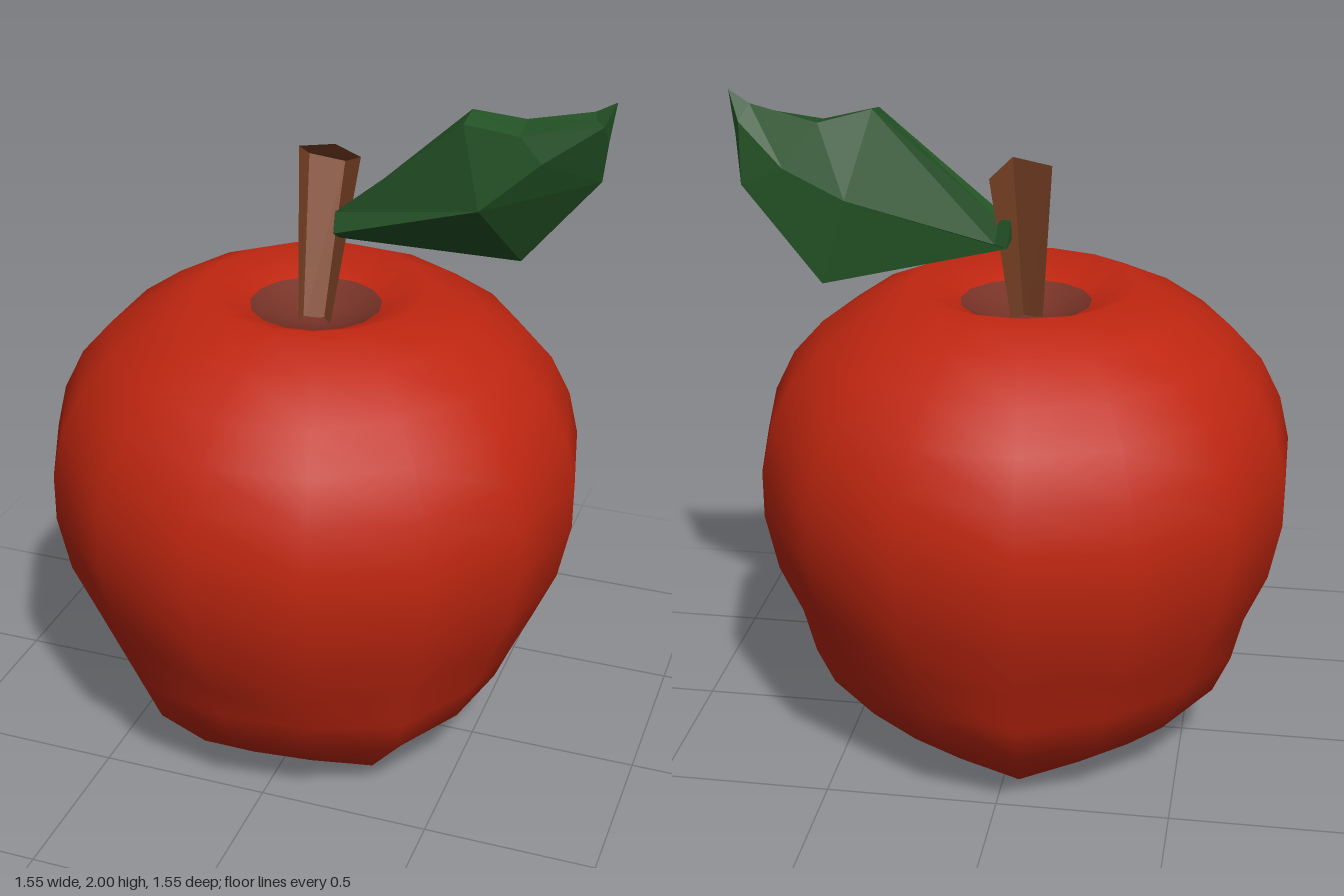
import * as THREE from 'three';
import { mergeVertices } from 'three/addons/utils/BufferGeometryUtils.js';

const SIDES = 15;
const material = (name, color) => {
  const m = new THREE.MeshStandardMaterial({ color });
  m.name = name;
  return m;
};

// Turned skin with five soft lobes pressed into the underside
function turned(profile) {
  const g = new THREE.LatheGeometry(
    profile.map(([r, y]) => new THREE.Vector2(r, y)), SIDES, Math.PI / 2);
  const p = g.attributes.position;
  for (let i = 0; i < p.count; i++) {
    const x = p.getX(i), y = p.getY(i), z = p.getZ(i);
    const r = Math.hypot(x, z);
    if (y > 0.45 || r < 0.01) continue;
    const lobe = Math.cos(5 * (Math.atan2(z, x) - THREE.MathUtils.degToRad(48)));
    const drop = y < 0.2 ? 0.021 : 0.006;
    const swell = 1 + 0.025 * lobe;
    p.setXYZ(i, x * swell, y - drop * lobe, z * swell);
  }
  g.deleteAttribute('uv');
  g.deleteAttribute('normal');
  const merged = mergeVertices(g, 1e-4);
  merged.computeVertexNormals();
  return merged;
}

// Faceted solid through cross-sections of equal point count, capped at both ends
function loft(sections) {
  const n = sections[0].length;
  const pos = sections.flat(2);
  const index = [];
  for (let i = 0; i < sections.length - 1; i++) {
    for (let j = 0; j < n; j++) {
      const a = i * n + j, b = i * n + (j + 1) % n;
      index.push(a, b, b + n, a, b + n, a + n);
    }
  }
  const last = (sections.length - 1) * n;
  for (let j = 1; j < n - 1; j++) {
    index.push(0, j + 1, j, last, last + j, last + j + 1);
  }
  const g = new THREE.BufferGeometry();
  g.setAttribute('position', new THREE.Float32BufferAttribute(pos, 3));
  g.setIndex(index);
  const flat = g.toNonIndexed();
  flat.computeVertexNormals();
  return flat;
}

export function createModel() {
  const red = material('red skin', 0xbf2610);
  const russet = material('russet hollow', 0x773227);
  const brown = material('brown stem', 0x7f4427);
  const green = material('leaf green', 0x235225);
  const model = new THREE.Group();
  model.name = 'apple';
  const add = (name, geometry, mat) => {
    const mesh = new THREE.Mesh(geometry, mat);
    mesh.name = name;
    model.add(mesh);
    return mesh;
  };

  // Fruit skin, from the underside hollow round to the top hollow
  const skin = [
    [0.16, 0.075], [0.22, 0.026], [0.43, 0.075], [0.58, 0.225], [0.63, 0.34],
    [0.68, 0.47], [0.745, 0.62], [0.78, 0.79], [0.78, 0.93], [0.75, 1.06],
    [0.69, 1.18], [0.6, 1.28], [0.47, 1.37], [0.325, 1.432], [0.19, 1.375],
  ];
  add('skin', turned(skin), red).position.x = -0.012;

  // Hollows at the top and underneath
  add('topHollow', turned([[0.19, 1.375], [0.09, 1.325], [0, 1.31]]), russet).position.x = -0.012;
  add('bottomHollow', turned([[0, 0.12], [0.08, 0.105], [0.16, 0.075]]), russet).position.x = -0.012;

  // Five-sided stem leaning back, with a slanted cut
  const foot = [[-0.055, 1.29, 0.03], [0, 1.29, 0.045], [0.03, 1.29, 0.01], [0, 1.29, -0.025], [-0.055, 1.29, -0.01]];
  const cut = [[-0.1, 1.8, -0.105], [0.01, 1.82, -0.1], [0.067, 1.77, -0.155], [0, 1.73, -0.215], [-0.1, 1.75, -0.19]];
  add('stem', loft([foot, cut].map((s) => s.reverse())), brown);

  // Thick folded leaf: front top, front rib, lower edge, back rib, back top
  add('leaf', loft([
    [[0.02, 1.63, -0.07], [0.02, 1.57, -0.055], [0.03, 1.55, -0.08], [0.06, 1.57, -0.11], [0.05, 1.64, -0.1]],
    [[0.39, 1.935, -0.055], [0.44, 1.69, -0.055], [0.52, 1.48, -0.25], [0.45, 1.72, -0.255], [0.39, 1.95, -0.145]],
    [[0.54, 1.905, -0.09], [0.6, 1.83, -0.1], [0.74, 1.75, -0.24], [0.62, 1.8, -0.247], [0.53, 1.92, -0.2]],
    [[0.73, 1.95, -0.165], [0.75, 1.93, -0.17], [0.76, 1.88, -0.2], [0.745, 1.92, -0.22], [0.72, 1.965, -0.19]],
    Array.from({ length: 5 }, () => [0.78, 2, -0.18]),
  ]), green);

  return model;
}
